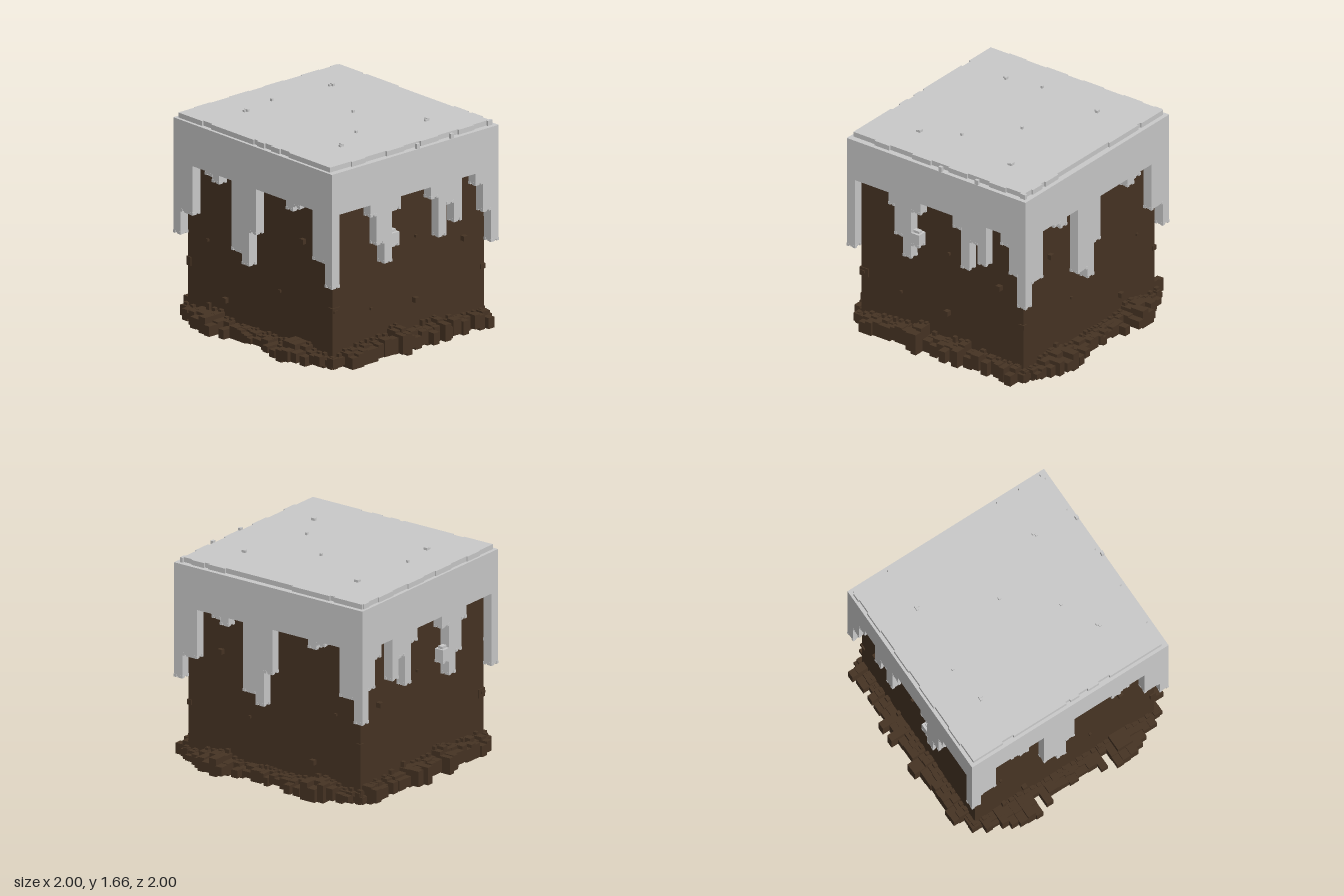
import * as THREE from 'three';

export function createModel() {
  const model = new THREE.Group();
  const icing = new THREE.MeshStandardMaterial({ color: 0xcbcbcb });
  icing.name = 'icing';
  const sponge = new THREE.MeshStandardMaterial({ color: 0x473424 });
  sponge.name = 'chocolate sponge';

  let seed = 7;
  const rand = () => (seed = (seed * 16807) % 2147483647) / 2147483647;

  // Box given by its lower and upper corners, in any order
  function block(parent, name, mat, x0, x1, y0, y1, z0, z1) {
    const g = new THREE.BoxGeometry(Math.abs(x1 - x0), Math.abs(y1 - y0), Math.abs(z1 - z0));
    const m = new THREE.Mesh(g, mat);
    m.position.set((x0 + x1) / 2, (y0 + y1) / 2, (z0 + z1) / 2);
    m.name = name;
    parent.add(m);
  }
  function group(name) {
    const g = new THREE.Group();
    g.name = name;
    model.add(g);
    return g;
  }

  // Sponge body and icing slab with its raised top
  block(model, 'spongeBody', sponge, -0.82, 0.82, 0, 1.3, -0.78, 0.78);
  block(model, 'icingSlab', icing, -0.9, 0.9, 1.26, 1.6, -0.86, 0.86);
  block(model, 'icingTop', icing, -0.87, 0.85, 1.6, 1.64, -0.81, 0.82);

  // Uneven rim of the raised top
  const rim = group('icingRim');
  for (const [a, b] of [[-0.81, -0.74], [-0.62, -0.44], [-0.25, -0.05], [0.1, 0.3], [0.5, 0.66]]) {
    block(rim, 'rimPiece', icing, -0.88, -0.86, 1.6, 1.64, a, b);
    block(rim, 'rimPiece', icing, 0.84, 0.865, 1.6, 1.64, a - 0.02, b - 0.04);
  }
  for (const [a, b] of [[-0.87, -0.6], [-0.56, -0.2], [0.44, 0.6], [0.64, 0.76]])
    block(rim, 'rimPiece', icing, a, b, 1.6, 1.64, -0.825, -0.8);
  for (const [a, b] of [[-0.87, -0.6], [-0.5, -0.02], [0.02, 0.1], [0.18, 0.28], [0.38, 0.85]])
    block(rim, 'rimPiece', icing, a, b, 1.6, 1.64, 0.8, 0.835);
  for (const z of [-0.38, -0.03])
    block(rim, 'rimPiece', icing, 0.875, 0.898, 1.6, 1.64, z - 0.02, z + 0.01);

  // Sprinkles: four corner pairs and three single cubes
  const sprinkles = group('sprinkles');
  for (const s of [-1, 1]) for (const z of [-0.44, 0.44]) {
    block(sprinkles, 'sprinkle', icing, s * 0.52, s * 0.555, 1.63, 1.66, z - 0.02, z);
    block(sprinkles, 'sprinkle', icing, s * 0.535, s * 0.555, 1.63, 1.655, z - 0.01, z + 0.02);
  }
  for (const [x, z] of [[0.025, -0.155], [-0.59, 0.125], [0.39, 0.145]])
    block(sprinkles, 'sprinkle', icing, x - 0.01, x + 0.01, 1.63, 1.66, z - 0.01, z + 0.01);

  // One drip column: shaft, narrower tip and small beads on its lower rim
  function drip(parent, x0, x1, z0, z1, bottom, top = 1.27) {
    const i = 0.02;
    block(parent, 'dripShaft', icing, x0, x1, bottom + 0.02, top, z0, z1);
    block(parent, 'dripTip', icing, x0 + i, x1 - i, bottom, bottom + 0.021, z0 + i, z1 - i);
    for (const x of [x0, x1]) for (const z of [z0, z1]) {
      const cx = x === x0 ? x0 + 0.01 : x1 - 0.01, cz = z === z0 ? z0 + 0.01 : z1 - 0.01;
      block(parent, 'dripBead', icing, cx - 0.012, cx + 0.012, bottom + 0.01, bottom + 0.033, cz - 0.012, cz + 0.012);
    }
  }

  // Front drips as [x0, x1, bottom]; the back is the same turned half round
  const frontDrips = [
    [-0.82, -0.68, 0.85], [-0.54, -0.46, 1.22], [-0.46, -0.38, 1.18], [-0.24, -0.12, 0.69],
    [-0.12, -0.04, 0.605], [-0.04, 0.04, 0.88], [0.38, 0.46, 1.18], [0.46, 0.54, 1.22], [0.68, 0.82, 0.85],
  ];
  const front = group('frontDrips'), back = group('backDrips');
  for (const [a, b, y] of frontDrips) {
    drip(front, a, b, 0.78, 0.86, y);
    drip(back, -b, -a, -0.86, -0.78, y);
  }

  // Side drips as [z0, z1, bottom], mirrored left and right, and corner drips
  const sideDrips = [
    [0.4, 0.46, 1.15], [0.32, 0.4, 0.91], [0.24, 0.32, 0.745], [0.15, 0.24, 1.15],
    [-0.24, -0.16, 1.15], [-0.32, -0.24, 0.825], [-0.4, -0.32, 1.07], [-0.48, -0.4, 0.91],
    [-0.7, -0.62, 1.15], [-0.78, -0.7, 0.92],
  ];
  for (const s of [-1, 1]) {
    const side = group(s > 0 ? 'leftDrips' : 'rightDrips');
    const x0 = s > 0 ? 0.82 : -0.9, x1 = x0 + 0.08;
    for (const [a, b, y] of sideDrips) drip(side, x0, x1, a, b, y);
    drip(side, x0, x1, 0.165, 0.24, 0.86, 0.98);
    block(side, 'dripBead', icing, x0 + 0.02, x1 - 0.02, 0.975, 1.0, 0.18, 0.235);
    for (const z of [-0.86, 0.78]) drip(side, x0, x1, z, z + 0.08, 0.66);
  }

  // Crumbs stuck to the walls as [along, y, size]
  const wallCrumbs = group('wallCrumbs');
  for (const [x, y, d] of [[0.5, 0.945, 0.04], [-0.38, 0.24, 0.04], [-0.59, 0.67, 0.02], [0.23, 0.47, 0.02]])
    for (const s of [-1, 1])
      block(wallCrumbs, 'crumb', sponge, x - d / 2, x + d / 2, y - d / 2, y + d / 2, s * 0.77, s * (0.78 + d * 0.85));
  for (const [z, y, d] of [[-0.56, 0.74, 0.04], [-0.06, 0.36, 0.04], [-0.07, 0.87, 0.02], [0.39, 0.39, 0.02]])
    for (const s of y > 0.5 ? [-1, 1] : [1])
      block(wallCrumbs, 'crumb', sponge, s * 0.81, s * (0.82 + d), y - d / 2, y + d / 2, z - d / 2, z + d / 2);
  for (const s of [-1, 1]) {
    block(wallCrumbs, 'crumb', sponge, s * 0.78, s * 0.83, 0.41, 0.48, 0.71, 0.79);
    block(wallCrumbs, 'crumb', sponge, s * 0.8, s * 0.84, 0.44, 0.46, 0.74, 0.78);
    block(wallCrumbs, 'crumb', sponge, s * 0.79, s * 0.83, 0.44, 0.48, -0.79, -0.74);
  }

  // Crumb ring round the foot: each span is [start, end, reach, height]
  const ring = group('baseCrumbs');
  function crumbs(spans, wall, put) {
    for (const [a, b, reach, h] of spans) {
      const n = Math.max(1, Math.round((b - a) / 0.06)), w = (b - a) / n;
      for (let i = 0; i < n; i++) {
        const u = a + i * w, mid = wall + (reach - wall) * (0.45 + 0.2 * rand());
        put(u, u + w, wall - 0.02, mid, 0, h * (0.75 + 0.25 * rand()));
        put(u, u + w, mid - 0.01, reach, 0.02 * Math.round(rand()), h * (0.6 + 0.4 * rand()));
        put(u + w * 0.2, u + w * 0.7, wall - 0.01, wall + 0.03, 0, h * (0.9 + 0.25 * rand()));
      }
    }
  }
  const endSpans = [
    [0, 0.04, 0.92, 0.1], [0.04, 0.14, 0.9, 0.1], [0.14, 0.22, 0.9, 0.1], [0.22, 0.28, 0.96, 0.09],
    [0.28, 0.34, 0.85, 0.1], [0.34, 0.4, 1, 0.12], [0.4, 0.54, 0.99, 0.15], [0.54, 0.6, 0.96, 0.15],
    [0.6, 0.66, 0.92, 0.12], [0.66, 0.78, 0.88, 0.1], [0.78, 0.86, 0.82, 0.07],
  ];
  const sideSpans = [
    [-0.82, -0.76, 0.87, 0.1], [-0.76, -0.7, 0.96, 0.14], [-0.68, -0.58, 0.94, 0.14], [-0.58, -0.52, 0.89, 0.12],
    [-0.52, -0.46, 0.94, 0.13], [-0.44, -0.36, 0.94, 0.16], [-0.36, -0.28, 0.93, 0.12], [-0.28, -0.22, 1, 0.18],
    [-0.22, -0.16, 0.94, 0.15], [-0.16, -0.1, 1, 0.16], [-0.1, 0.1, 0.94, 0.14], [0.12, 0.22, 1, 0.21],
    [0.22, 0.36, 0.95, 0.16], [0.36, 0.58, 0.94, 0.15], [0.58, 0.7, 0.96, 0.14], [0.7, 0.82, 0.87, 0.1],
  ];
  for (const s of [-1, 1]) {
    for (const t of [-1, 1])
      crumbs(endSpans, 0.78, (a, b, r0, r1, y0, y1) =>
        block(ring, 'crumb', sponge, s * a, s * b, y0, y1, t * r0, t * r1));
    crumbs(sideSpans, 0.82, (a, b, r0, r1, y0, y1) =>
      block(ring, 'crumb', sponge, s * r0, s * r1, y0, y1, a, b));
  }
  return model;
}
